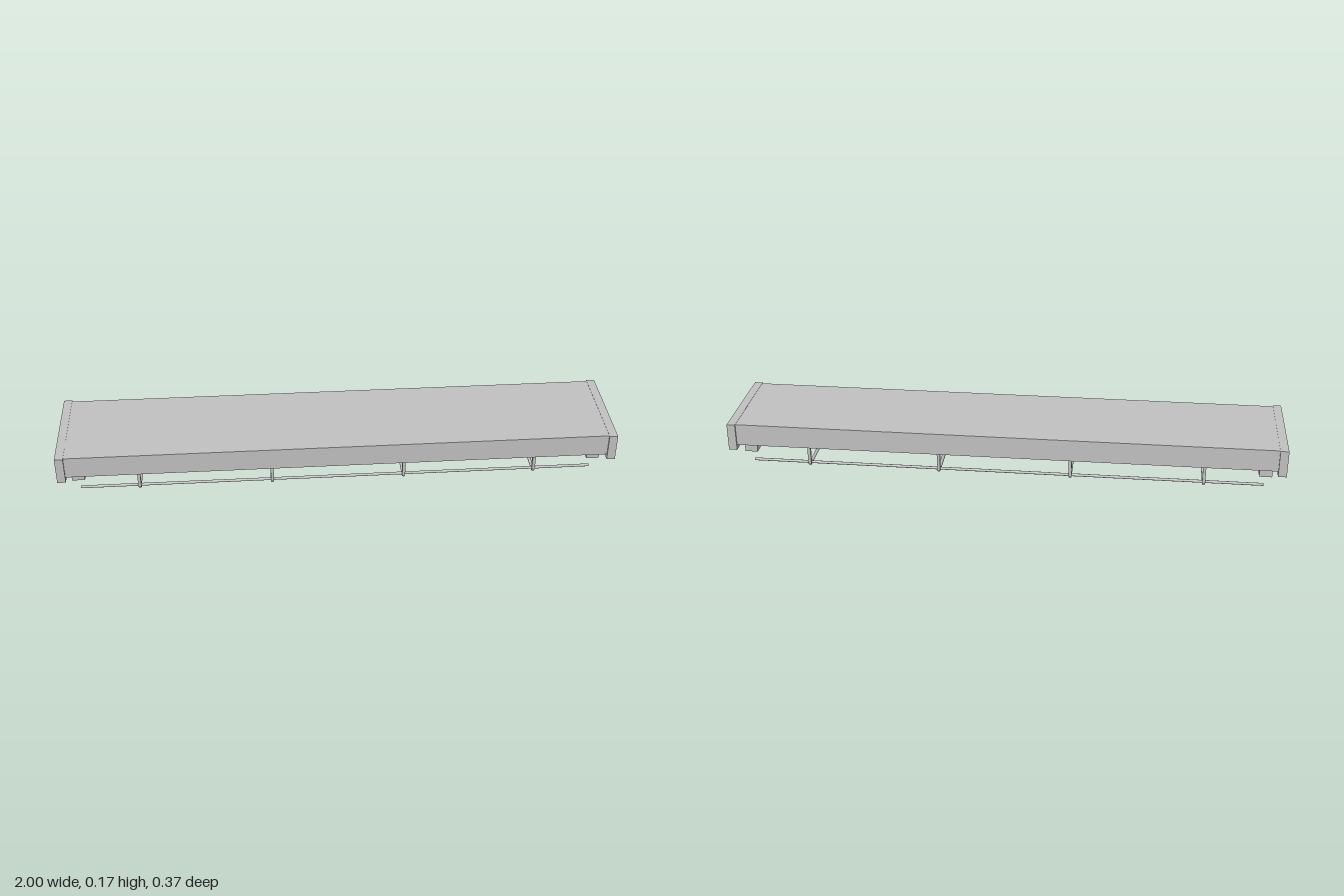
import * as THREE from 'three';

export function createModel() {
  const model = new THREE.Group();
  model.name = 'lightFixture';
  const grey = new THREE.MeshStandardMaterial({ color: 0xc0c0c0 });
  grey.name = 'light grey';

  const add = (name, geometry, x, y, z) => {
    const mesh = new THREE.Mesh(geometry, grey);
    mesh.name = name;
    mesh.position.set(x, y, z);
    model.add(mesh);
  };
  const box = (name, w, h, d, x, y, z) => add(name, new THREE.BoxGeometry(w, h, d), x, y, z);
  const rodX = (name, r, length, sides, x, y, z) =>
    add(name, new THREE.CylinderGeometry(r, r, length, sides).rotateZ(Math.PI / 2), x, y, z);

  // Long housing
  box('housing', 1.94, 0.081, 0.362, 0, 0.1305, 0);

  // End caps and lamp holders
  for (const s of [-1, 1]) {
    box('endCap', 0.03, 0.1, 0.374, s * 0.985, 0.122, 0);
    box('lampHolder', 0.046, 0.049, 0.272, s * 0.933, 0.0665, 0);
  }

  // Two lamp tubes and the two long guard wires
  for (const s of [-1, 1]) {
    rodX('lampTube', 0.02, 1.82, 24, 0, 0.058, s * 0.075);
    rodX('guardRod', 0.0052, 1.85, 10, -0.003, 0.011, s * 0.135);
  }

  // Guard brackets: one cross bar and two uprights each
  for (const x of [-0.717, -0.24, 0.237, 0.714]) {
    add('crossBar', new THREE.CylinderGeometry(0.006, 0.006, 0.284, 10).rotateX(Math.PI / 2), x, 0.006, 0);
    for (const s of [-1, 1]) {
      box('upright', 0.011, 0.084, 0.011, x, 0.05, s * 0.142);
    }
  }
  return model;
}
